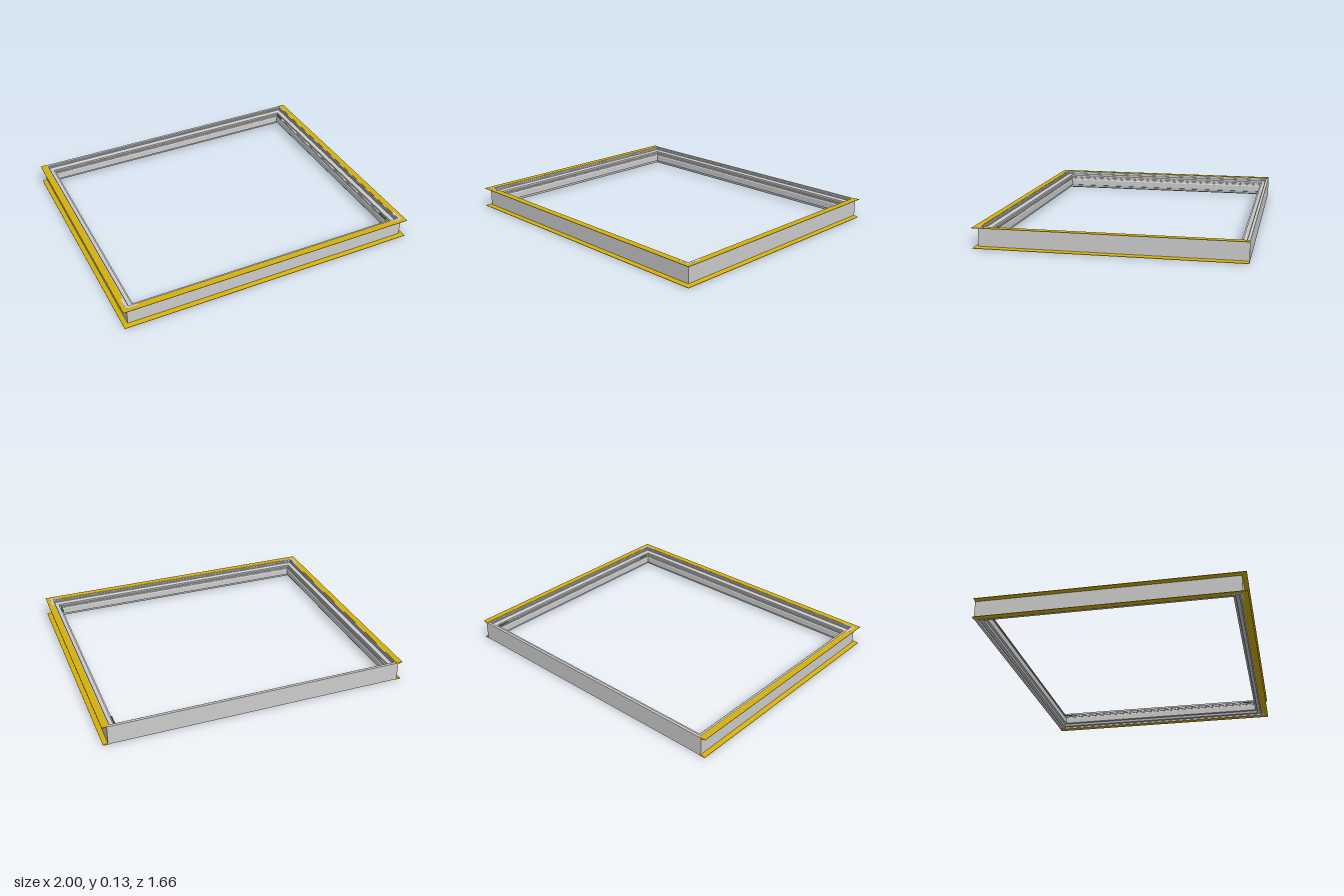
import * as THREE from 'three';

const H = 0.13, X = 0.97, BACK = -0.83, FRONT = 0.805;

// Sweeps a counter-clockwise [inset, y] profile along mitred corner stations
function sweep(profile, stations, closed) {
  const pos = [];
  const rings = stations.map((at) => profile.map(([i, y]) => {
    const [x, z] = at(i);
    return [x, y, z];
  }));
  const tri = (a, b, c) => pos.push(...a, ...b, ...c);
  const n = profile.length, m = rings.length;
  for (let s = 0; s < (closed ? m : m - 1); s++) {
    const p = rings[s], q = rings[(s + 1) % m];
    for (let j = 0; j < n; j++) {
      const k = (j + 1) % n;
      tri(p[j], p[k], q[k]);
      tri(p[j], q[k], q[j]);
    }
  }
  if (!closed) {
    const faces = THREE.ShapeUtils.triangulateShape(profile.map(([i, y]) => new THREE.Vector2(i, y)), []);
    for (const [a, b, c] of faces) {
      tri(rings[0][c], rings[0][b], rings[0][a]);
      tri(rings[m - 1][a], rings[m - 1][b], rings[m - 1][c]);
    }
  }
  const g = new THREE.BufferGeometry();
  g.setAttribute('position', new THREE.Float32BufferAttribute(pos, 3));
  g.computeVertexNormals();
  return g;
}

// Corner stations; the back ones are either mitred or cut square
const corners = (mitredBack) => [
  (i) => [-X + i, BACK + (mitredBack ? i : 0)],
  (i) => [-X + i, FRONT - i],
  (i) => [X - i, FRONT - i],
  (i) => [X - i, BACK + (mitredBack ? i : 0)],
];

export function createModel() {
  const model = new THREE.Group();
  const grey = new THREE.MeshStandardMaterial({ color: 0xcccccc });
  const yellow = new THREE.MeshStandardMaterial({ color: 0xd4b00c });
  const green = new THREE.MeshStandardMaterial({ color: 0x2f8f3f });
  const add = (name, geometry, material) => {
    const mesh = new THREE.Mesh(geometry, material);
    mesh.name = name;
    model.add(mesh);
    return mesh;
  };
  const box = (name, size, at, material) =>
    add(name, new THREE.BoxGeometry(...size), material).position.set(...at);

  // Stepped frame: flat outer web, recessed ledges, inner lip
  const frame = [
    [0, 0.002], [0.018, 0.002], [0.018, 0.016], [0.024, 0.016], [0.024, 0.01],
    [0.046, 0.01], [0.05, 0.026], [0.062, 0.03], [0.062, 0.07], [0.058, 0.076],
    [0.058, 0.092], [0.05, 0.092], [0.05, 0.104], [0.024, 0.11], [0.024, 0.118],
    [0.018, 0.118], [0.018, 0.128], [0, 0.128],
  ];
  add('frame', sweep(frame, corners(true), true), grey);

  // Thin gasket ribs round the inside
  for (const y of [0.078, 0.084, 0.09]) {
    const rib = [[0.056, y - 0.001], [0.061, y - 0.001], [0.061, y + 0.001], [0.056, y + 0.001]];
    add('gasketRib', sweep(rib, corners(true), true), grey);
  }

  // Tapered flanges on the left, right and front, above and below
  const top = [[-0.03, 0.127], [0, 0.121], [0.012, 0.121], [0.012, H], [-0.03, H]];
  const bottom = top.map(([i, y]) => [i, H - y]).reverse();
  add('topFlange', sweep(top, corners(false), false), yellow);
  add('bottomFlange', sweep(bottom, corners(false), false), yellow);

  for (const side of [-1, 1]) {
    // L-shaped plates at the front corners
    for (const y of [0.0005, H - 0.0005]) {
      box('cornerPlateSide', [0.016, 0.002, 0.09], [side * 0.967, y, 0.76], grey);
      box('cornerPlateFront', [0.08, 0.002, 0.013], [side * 0.935, y, 0.7985], grey);
    }
  }

  // Small glazing blocks on the inner wall of the left side
  for (const z of [-0.73, 0.69]) {
    box('glazingBlock', [0.008, 0.006, 0.07], [0.909, 0.096, z], green);
  }
  return model;
}
